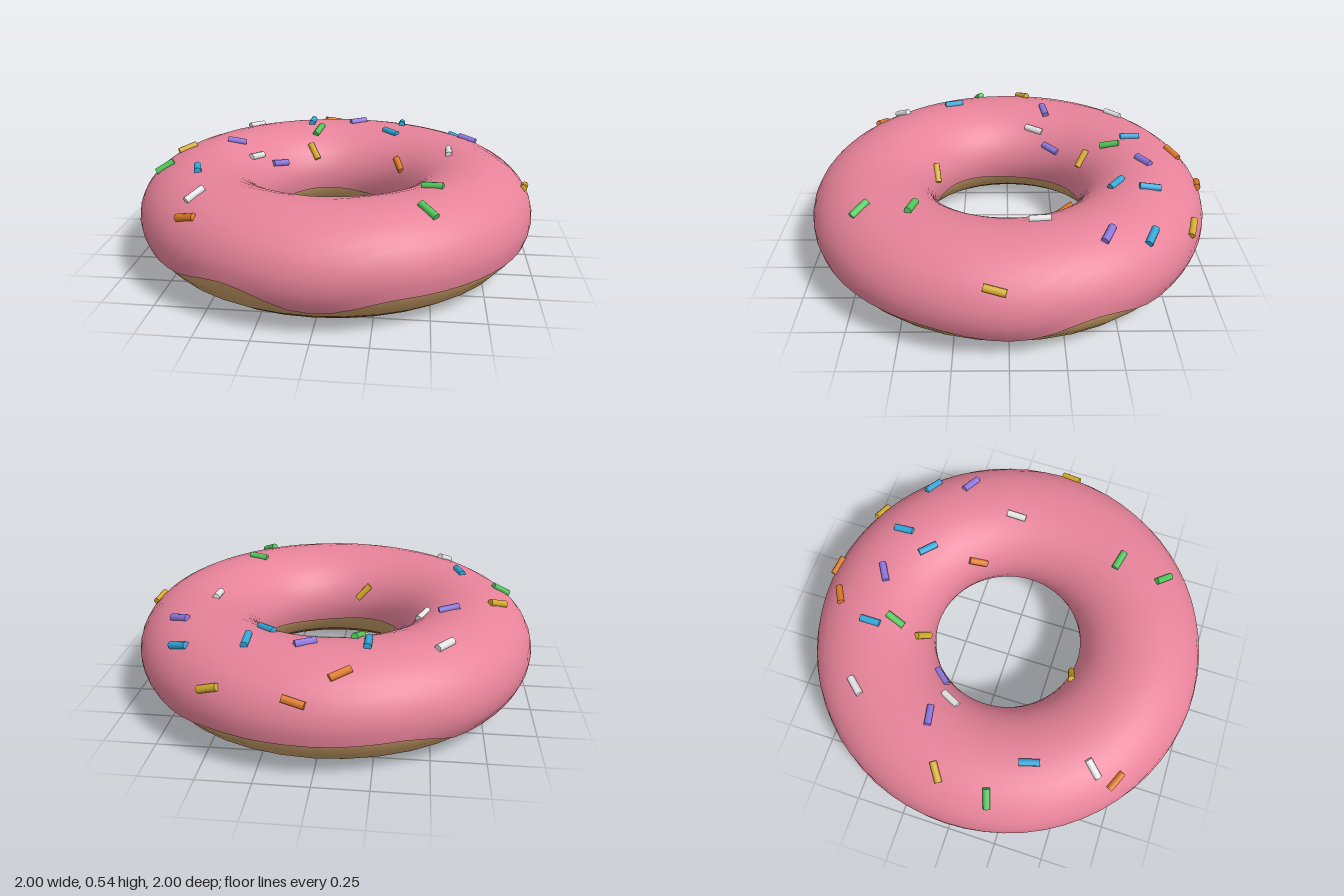
import * as THREE from 'three';

const RING = 0.69, MID = 0.26;   // ring radius and height of the tube's centre
const A = 0.31, B = 0.255;       // icing half width and half height

const paint = (name, color, side = THREE.FrontSide) => {
  const m = new THREE.MeshStandardMaterial({ color, side });
  m.name = name;
  return m;
};

// Ring of dough: pale sides, browned underside
function makeDough() {
  const sides = 24, around = 40, row = around * 6;
  const geo = new THREE.TorusGeometry(RING, 0.295, sides, around);
  geo.rotateX(-Math.PI / 2);
  geo.scale(1, 0.262 / 0.295, 1);
  const p = geo.attributes.position;
  for (let i = 0; i < p.count; i++) {
    const y = p.getY(i);
    p.setY(i, 0.262 + (y > 0 ? y * 0.9 : y));
  }
  geo.addGroup(0, 15 * row, 0);
  geo.addGroup(15 * row, 6 * row, 1);
  geo.addGroup(21 * row, 3 * row, 0);
  const mesh = new THREE.Mesh(geo, [paint('paleDough', 0xc49a64), paint('brownedDough', 0x7b4a20)]);
  mesh.name = 'dough';
  return mesh;
}

// Heights of the icing's dripping outer edge, every 22.5 degrees from +x towards +z
const DRIPS = [0.12, 0.18, 0.185, 0.185, 0.11, 0.225, 0.165, 0.155,
  0.175, 0.15, 0.105, 0.2, 0.19, 0.185, 0.15, 0.23];

function dripHeight(t) {
  const f = t / (Math.PI * 2) * DRIPS.length, i = Math.floor(f);
  const k = (1 - Math.cos((f - i) * Math.PI)) / 2;
  return THREE.MathUtils.lerp(DRIPS[i % DRIPS.length], DRIPS[(i + 1) % DRIPS.length], k);
}

// Icing shell swept over the top, from the outer edge to the inner edge
function makeIcing() {
  const around = 64, across = 18, pos = [], index = [];
  for (let i = 0; i < around; i++) {
    const t = i / around * Math.PI * 2;
    const start = Math.asin((dripHeight(t) - MID) / B);
    const innerY = 0.18 + 0.018 * Math.sin(3 * t + 1);
    const end = Math.PI - Math.asin((innerY - MID) / B);
    for (let j = 0; j <= across; j++) {
      const v = THREE.MathUtils.lerp(start, end, j / across);
      const r = RING + A * Math.cos(v);
      pos.push(r * Math.cos(t), MID + B * Math.sin(v), r * Math.sin(t));
      if (j < across) {
        const a = i * (across + 1) + j, b = ((i + 1) % around) * (across + 1) + j;
        index.push(a, a + 1, b, b, a + 1, b + 1);
      }
    }
  }
  const geo = new THREE.BufferGeometry();
  geo.setAttribute('position', new THREE.Float32BufferAttribute(pos, 3));
  geo.setIndex(index);
  geo.computeVertexNormals();
  const mesh = new THREE.Mesh(geo, paint('pinkIcing', 0xe8839a, THREE.DoubleSide));
  mesh.name = 'icing';
  return mesh;
}

// Sprinkles by colour: x, z and direction seen from above
const SPRINKLES = [
  ['orange', 0xe07b28, [[0.07, -0.96, 10, 2], [-0.11, -0.86, 10, -6], [-0.58, 0.72, 9, 4], [0.32, -0.27, 3, 8]]],
  ['yellow', 0xd6ac2c, [[0.45, -0.86, 10, 3], [-0.17, -0.4, 6, 6], [-0.81, -0.09, 9, -6],
    [-0.12, 0.38, 10, -2], [0.95, 0.06, -2, 10]]],
  ['blue', 0x35a8dc, [[0.64, -0.63, 10, 5], [0.32, -0.67, 0, 1], [0.26, -0.52, 8, 7],
    [-0.21, -0.65, 0, 1], [-0.64, 0.31, 3, 10]]],
  ['green', 0x52c95c, [[-0.16, -0.54, -3, 10], [-0.85, 0.17, 9, -3], [0.49, 0.44, 10, 2.5], [0.47, 0.68, 7, 6.5]]],
  ['purple', 0x8f78e0, [[0.69, -0.43, 10, 5], [0.06, -0.68, 10, -6], [-0.57, -0.21, 10, -2], [-0.34, -0.24, -7, 8]]],
  ['white', 0xe8e8e8, [[-0.54, -0.6, 7, -8], [-0.45, -0.15, -5, 10], [-0.57, 0.6, 6, -7], [0.58, -0.14, 0, 1]]],
];

function makeSprinkles() {
  const group = new THREE.Group();
  group.name = 'sprinkles';
  const geo = new THREE.CylinderGeometry(0.018, 0.018, 0.1, 8).toNonIndexed();
  const up = new THREE.Vector3(0, 1, 0);
  for (const [name, color, list] of SPRINKLES) {
    const material = paint(name + 'Sugar', color);
    for (const [x, z, dx, dz] of list) {
      const r = Math.hypot(x, z), c = (r - RING) / A, s = Math.sqrt(Math.max(0.02, 1 - c * c));
      const n = new THREE.Vector3(c / A * x / r, s / B, c / A * z / r).normalize();
      const dir = new THREE.Vector3(dx, -(dx * n.x + dz * n.z) / n.y, dz).normalize();
      const mesh = new THREE.Mesh(geo, material);
      mesh.name = name + 'Sprinkle';
      mesh.position.set(x, MID + B * s, z).addScaledVector(n, 0.004);
      mesh.quaternion.setFromUnitVectors(up, dir);
      group.add(mesh);
    }
  }
  return group;
}

export function createModel() {
  const model = new THREE.Group();
  model.name = 'icedRing';
  model.add(makeDough(), makeIcing(), makeSprinkles());
  return model;
}
